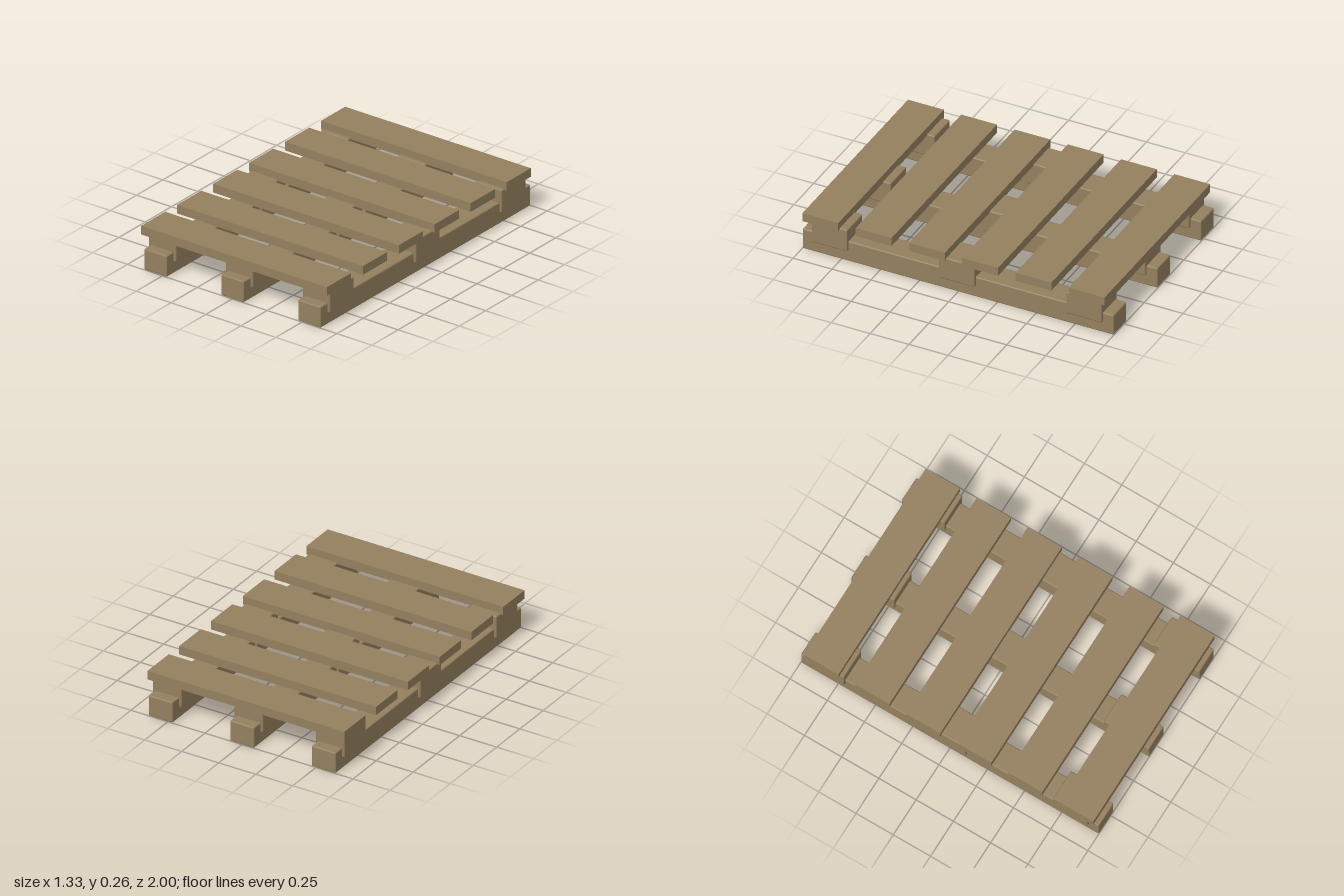
import * as THREE from 'three';
import { RoundedBoxGeometry } from 'three/addons/geometries/RoundedBoxGeometry.js';

const wood = new THREE.MeshStandardMaterial({ color: 0x94805f });

export function createModel() {
  const pallet = new THREE.Group();
  pallet.name = 'pallet';

  const add = (name, geometry, x, y, z) => {
    const mesh = new THREE.Mesh(geometry, wood);
    mesh.name = name;
    mesh.position.set(x, y, z);
    pallet.add(mesh);
  };

  // Long runners on the ground, each passing through three wider spacer blocks
  const runner = new RoundedBoxGeometry(0.163, 0.134, 2, 1, 0.008);
  const block = new RoundedBoxGeometry(0.197, 0.146, 0.23, 1, 0.008);
  for (const x of [-0.551, 0, 0.551]) {
    add('runner', runner, x, 0.067, 0);
    for (const z of [-0.816, 0.001, 0.819]) add('spacerBlock', block, x, 0.145, z);
  }

  // Six sharp-edged deck boards laid across the blocks
  const board = new THREE.BoxGeometry(1.33, 0.055, 0.23);
  for (let i = 0; i < 6; i++) add('deckBoard', board, 0, 0.2365, 0.868 - i * 0.3422);

  return pallet;
}
